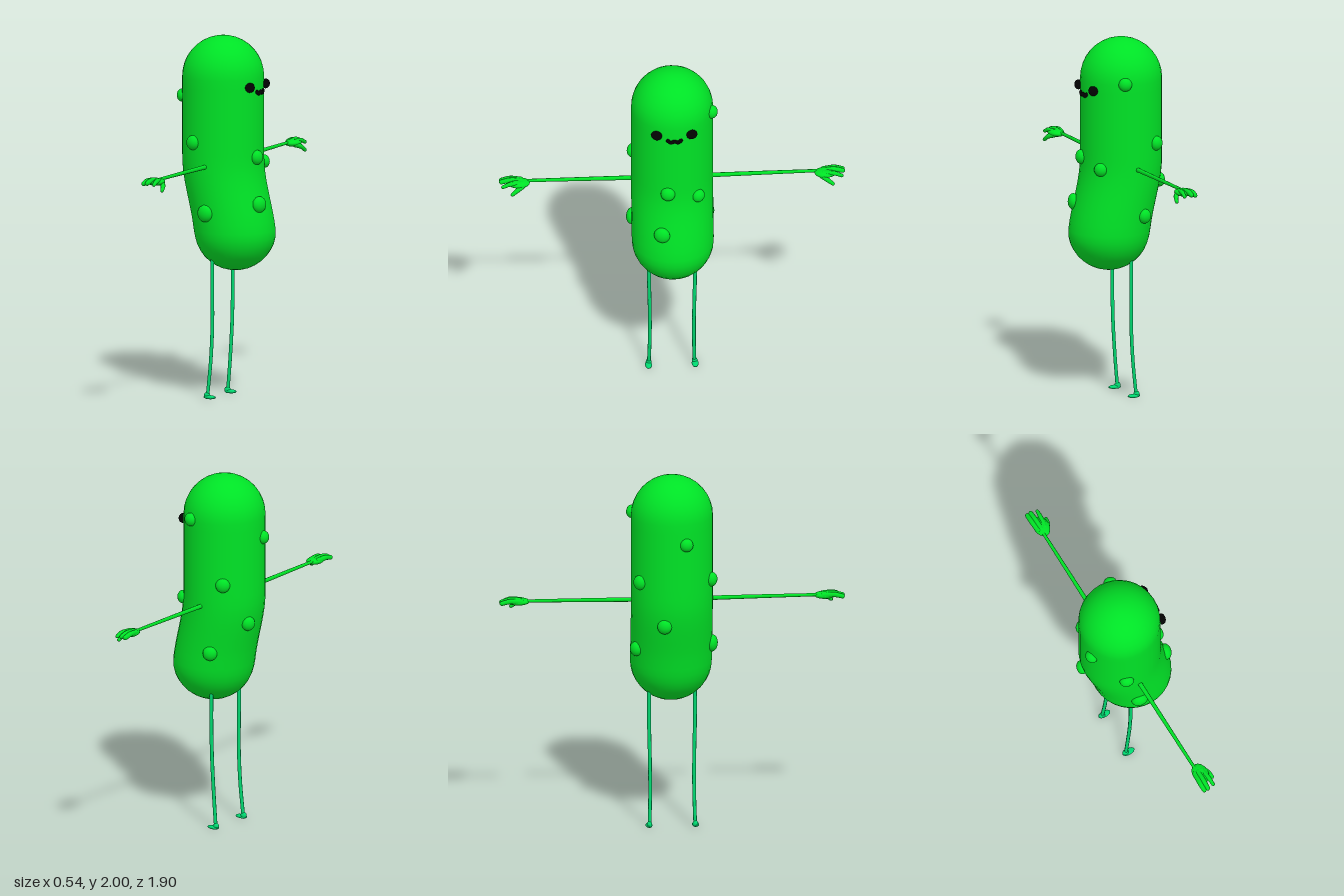
import * as THREE from 'three';
import { mergeVertices } from 'three/addons/utils/BufferGeometryUtils.js';

const R = 0.225;

// Sideways offset of the bent body's axis at a given height
function bend(y) {
  return -0.02 + 0.075 * THREE.MathUtils.smoothstep(1.33 - y, 0, 0.47);
}

export function createModel() {
  const model = new THREE.Group();
  const skin = new THREE.MeshStandardMaterial({ color: 0x00e326, name: 'cucumber green' });
  const legGreen = new THREE.MeshStandardMaterial({ color: 0x00d870, name: 'leg green' });
  const black = new THREE.MeshStandardMaterial({ color: 0x020202, name: 'face black' });

  function add(parent, name, geometry, material) {
    const mesh = new THREE.Mesh(geometry, material);
    mesh.name = name;
    parent.add(mesh);
    return mesh;
  }
  function ellipsoid(parent, name, material, pos, radii, ws = 16, hs = 12) {
    const mesh = add(parent, name, new THREE.SphereGeometry(1, ws, hs), material);
    mesh.position.set(...pos);
    mesh.scale.set(...radii);
    return mesh;
  }
  // Round limb along a curve, radius r0 to r1, with rounded ends
  function limb(parent, name, material, pts, r0, r1 = r0, sides = 8) {
    const curve = new THREE.CatmullRomCurve3(pts.map((p) => new THREE.Vector3(...p)));
    const steps = pts.length * 5;
    const geo = new THREE.TubeGeometry(curve, steps, 1, sides);
    const pos = geo.attributes.position;
    const v = new THREE.Vector3();
    for (let i = 0; i <= steps; i++) {
      const c = curve.getPointAt(i / steps);
      const r = THREE.MathUtils.lerp(r0, r1, i / steps);
      for (let j = 0; j <= sides; j++) {
        const k = i * (sides + 1) + j;
        v.fromBufferAttribute(pos, k).sub(c).multiplyScalar(r).add(c);
        pos.setXYZ(k, v.x, v.y, v.z);
      }
    }
    add(parent, name, geo, material);
    ellipsoid(parent, name + 'Start', material, pts[0], [r0, r0, r0], 8, 6);
    ellipsoid(parent, name + 'End', material, pts[pts.length - 1], [r1, r1, r1], 8, 6);
  }

  // Body: capsule profile turned round, then bent
  const profile = [];
  for (let i = 0; i <= 9; i++) {
    const a = (i / 9) * Math.PI / 2;
    profile.push(new THREE.Vector2(R * Math.sin(a), 0.931 - R * Math.cos(a)));
  }
  for (let i = 1; i < 16; i++) profile.push(new THREE.Vector2(R, 0.931 + (i / 16) * 0.844));
  for (let i = 0; i <= 9; i++) {
    const a = (i / 9) * Math.PI / 2;
    profile.push(new THREE.Vector2(R * Math.cos(a), 1.775 + R * Math.sin(a)));
  }
  let body = new THREE.LatheGeometry(profile, 32);
  const bp = body.attributes.position;
  for (let i = 0; i < bp.count; i++) bp.setX(i, bp.getX(i) + bend(bp.getY(i)));
  body.deleteAttribute('uv');
  body.deleteAttribute('normal');
  body = mergeVertices(body, 1e-5);
  body.computeVertexNormals();
  add(model, 'body', body, skin);

  // Warts: x, y, z near the skin, and radius
  const warts = new THREE.Group();
  warts.name = 'warts';
  model.add(warts);
  [
    [0.05, 1.78, -0.21, 0.037], [-0.24, 1.663, 0.065, 0.037], [-0.10, 1.427, 0.21, 0.04],
    [-0.15, 1.43, -0.19, 0.04], [0.20, 1.342, 0.035, 0.04], [0.165, 1.297, -0.135, 0.037],
    [-0.24, 1.195, -0.06, 0.04], [0.22, 1.087, 0.065, 0.045], [-0.02, 1.04, 0.21, 0.047],
    [-0.07, 1.03, -0.2, 0.04],
  ].forEach(([x, y, z, r]) => {
    const cx = bend(y);
    const angle = Math.atan2(x - cx, z);
    const d = R + 0.002;
    const wart = ellipsoid(warts, 'wart', skin,
      [cx + d * Math.sin(angle), y, d * Math.cos(angle)], [r, r, 0.031]);
    wart.rotation.y = angle;
  });

  // Face looks along +x
  const face = new THREE.Group();
  face.name = 'face';
  model.add(face);
  for (const s of [1, -1]) {
    const eye = ellipsoid(face, 'eye', black, [0.192, 1.734, s * 0.097], [0.023, 0.027, 0.031]);
    eye.rotation.y = -s * 0.3;
  }
  limb(face, 'mouth', black, [
    [0.204, 1.704, 0.036], [0.207, 1.694, 0.02], [0.209, 1.702, 0],
    [0.207, 1.694, -0.02], [0.204, 1.704, -0.036]], 0.011);

  for (const s of [1, -1]) {
    // Arm and hand, stretched out along z
    const arm = new THREE.Group();
    arm.name = s > 0 ? 'frontArm' : 'backArm';
    model.add(arm);
    const at = (pts) => pts.map(([x, y, z]) => [x, y, z * s]);
    limb(arm, 'armRod', skin, at([[-0.022, 1.297, 0.18], [-0.022, 1.3, 0.5], [-0.022, 1.302, 0.8]]), 0.013, 0.009);
    ellipsoid(arm, 'palm', skin, [-0.01, 1.297, s * 0.842], [0.044, 0.02, 0.062]);
    limb(arm, 'finger', skin, at([[-0.035, 1.3, 0.83], [-0.042, 1.306, 0.89], [-0.042, 1.296, 0.936]]), 0.017, 0.013);
    limb(arm, 'finger', skin, at([[-0.018, 1.303, 0.83], [-0.02, 1.309, 0.89], [-0.02, 1.299, 0.937]]), 0.017, 0.013);
    limb(arm, 'finger', skin, at([[0.005, 1.302, 0.83], [0.014, 1.306, 0.89], [0.018, 1.292, 0.93]]), 0.016, 0.01);
    limb(arm, 'thumb', skin, at([[0.012, 1.292, 0.82], [0.034, 1.278, 0.85], [0.043, 1.256, 0.88]]), 0.016, 0.01);

    // Leg and foot
    const leg = new THREE.Group();
    leg.name = s > 0 ? 'frontLeg' : 'backLeg';
    model.add(leg);
    limb(leg, 'legRod', legGreen, at([
      [-0.024, 0.78, 0.126], [-0.024, 0.6, 0.126], [-0.026, 0.4, 0.122],
      [-0.037, 0.2, 0.121], [-0.053, 0.025, 0.125]]), 0.011, 0.01);
    ellipsoid(leg, 'heel', legGreen, [-0.056, 0.019, s * 0.126], [0.018, 0.019, 0.015]);
    ellipsoid(leg, 'foot', legGreen, [-0.039, 0.011, s * 0.128], [0.037, 0.011, 0.019]);
  }
  return model;
}
